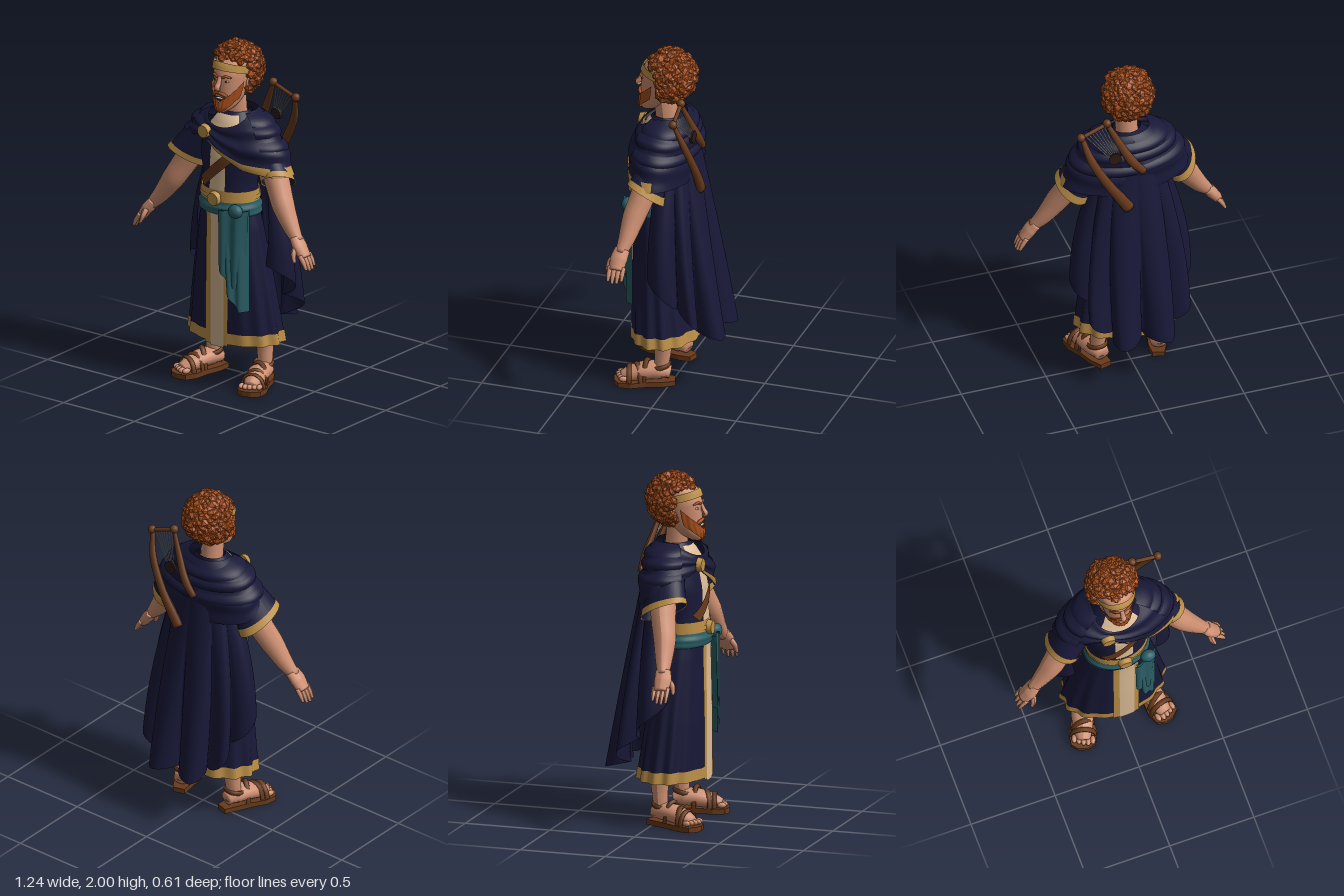
import * as THREE from 'three';
import { mergeGeometries } from 'three/addons/utils/BufferGeometryUtils.js';

const mat = (name, color, side = THREE.FrontSide) => new THREE.MeshStandardMaterial({ name, color, side });
const { sin, cos, asin, abs, max, min, PI } = Math;
const lerp = THREE.MathUtils.lerp, clamp = THREE.MathUtils.clamp;

// interpolate rows of [key, value, value...] at t
function key(rows, t) {
  let i = 0;
  while (i < rows.length - 2 && t > rows[i + 1][0]) i++;
  const a = rows[i], b = rows[i + 1];
  const k = clamp((t - a[0]) / (b[0] - a[0]), 0, 1);
  return a.slice(1).map((p, n) => lerp(p, b[n + 1], k));
}

// cross-sections: [y, half width, half depth, centre z]; angle 0 = front, + towards +x
const BODY = [[0.25, 0.3, 0.195, 0.065], [0.6, 0.255, 0.17, 0.09], [0.95, 0.2, 0.14, 0.115], [1.06, 0.17, 0.135, 0.125],
  [1.2, 0.165, 0.13, 0.122], [1.35, 0.19, 0.13, 0.115], [1.48, 0.18, 0.12, 0.1], [1.56, 0.11, 0.095, 0.085], [1.6, 0.08, 0.07, 0.075]];
const HEAD = [[1.61, 0.015, 0.025, 0.19], [1.625, 0.038, 0.045, 0.18], [1.65, 0.06, 0.075, 0.155], [1.7, 0.08, 0.1, 0.125], [1.76, 0.092, 0.115, 0.11],
  [1.83, 0.1, 0.125, 0.1], [1.9, 0.1, 0.12, 0.08], [1.97, 0.04, 0.05, 0.06]];
const MANTLE = [[1.25, 0.4, 0.185, 0.075], [1.4, 0.335, 0.18, 0.08], [1.53, 0.25, 0.155, 0.075], [1.58, 0.18, 0.125, 0.065], [1.62, 0.105, 0.088, 0.06]];
// lower edge of the mantle by angle in degrees
const EDGE = [[-180, 1.25], [-120, 1.3], [-90, 1.38], [-60, 1.42], [-30, 1.45], [-17, 1.46], [9, 1.37], [28, 1.31], [60, 1.28], [90, 1.28], [130, 1.27], [180, 1.25]];
// lower edge of the cape from the middle to the side
const CAPE_EDGE = [[0, 0.33], [0.17, 0.3], [0.33, 0.34], [0.5, 0.43], [0.67, 0.5], [0.83, 0.62], [1, 0.72]];

function ring(rows, a, y, off = 0, k = 1) {
  const [rx, rz, cz] = key(rows, y);
  return [sin(a) * (rx * k + off), y, cz + cos(a) * (rz * k + off)];
}
// robe surface with pleats that deepen to the hem
function body(a, y, off = 0) {
  const s = clamp((1.1 - y) / 0.8, 0, 1);
  return ring(BODY, a, y, off, 1 + 0.035 * s * (1 - max(0, cos(a)) ** 4) * sin(14 * a));
}
const bodyX = (x, y, off) => body(asin(clamp(x / key(BODY, y)[0], -1, 1)), y, off);
const edge = a => key(EDGE, a * 180 / PI)[0];
function mantle(a, v, off = 0) {
  const top = 1.61 - 0.08 * max(0, cos(a)) ** 3, y = lerp(edge(a), top, v);
  return ring(MANTLE, a, y, off + 0.009 * (1 + sin(v * 15 + a * 1.5)) * sin(PI * v));
}

export function createModel() {
  const g = new THREE.Group();
  g.name = 'robedMusician';
  const D = THREE.DoubleSide;
  const navy = mat('navyCloth', 0x181838, D), gold = mat('goldTrim', 0xbd9048, D), cream = mat('creamLinen', 0xdcbc98, D),
    teal = mat('tealSash', 0x2a5e66, D), skin = mat('skin', 0xcf9072), hair = mat('redHair', 0xaa501c, D),
    brown = mat('brownLeather', 0x683a1c, D), dark = mat('darkDetail', 0x2a1a16), pale = mat('paleString', 0xd6d4ce);

  const add = (name, geo, m, parent = g) => {
    const mesh = new THREE.Mesh(geo, m);
    mesh.name = name;
    parent.add(mesh);
    return mesh;
  };
  // grid surface from f(u, v)
  const surf = (name, m, nu, nv, f, parent) => {
    const pos = [], idx = [];
    for (let j = 0; j <= nv; j++) for (let i = 0; i <= nu; i++) pos.push(...f(i / nu, j / nv));
    for (let j = 0; j < nv; j++) for (let i = 0; i < nu; i++) {
      const a = j * (nu + 1) + i, d = a + nu + 1;
      idx.push(a, a + 1, d, a + 1, d + 1, d);
    }
    const geo = new THREE.BufferGeometry();
    geo.setAttribute('position', new THREE.Float32BufferAttribute(pos, 3));
    geo.setIndex(idx);
    geo.computeVertexNormals();
    return add(name, geo, m, parent);
  };
  // closed limb through [x, y, z, radius] points
  const limb = (name, m, pts, squash = 1, parent = g, ref = [0, 0, 1], sides = 12) => {
    const c = new THREE.CatmullRomCurve3(pts.map(p => new THREE.Vector3(...p)));
    const radii = pts.map((p, i) => [i / (pts.length - 1), p[3]]), n = pts.length * 4;
    return surf(name, m, sides, n + 2, (u, v) => {
      const t = clamp((v * (n + 2) - 1) / n, 0, 1), r = v === 0 || v === 1 ? 0 : key(radii, t)[0];
      const d = c.getTangent(t), e1 = d.clone().cross(new THREE.Vector3(...ref)).normalize(), e2 = d.clone().cross(e1);
      return c.getPoint(t).addScaledVector(e1, r * cos(u * 2 * PI)).addScaledVector(e2, squash * r * sin(u * 2 * PI)).toArray();
    }, parent);
  };
  const ball = (name, m, p, s, parent = g) => {
    const b = add(name, new THREE.SphereGeometry(1, 14, 10), m, parent);
    b.position.set(...p);
    b.scale.set(...s);
    return b;
  };
  const disc = (name, m, p, r, h) => {
    const d = add(name, new THREE.CylinderGeometry(r * 0.85, r, h, 20).rotateX(PI / 2), m);
    d.position.set(...p);
    return d;
  };
  const full = u => (u * 2 - 1) * PI;
  const band = (name, m, y0, y1, off) => surf(name, m, 144, 3, (u, v) => body(full(u), lerp(y0, y1, v), off));
  const panel = (name, m, y0, y1, x0, x1, off) => surf(name, m, 6, 30, (u, v) => bodyX(lerp(x0, x1, u), lerp(y0, y1, v), off));

  // robe, front panels, trims and belt
  surf('robe', navy, 144, 44, (u, v) => body(full(u), lerp(0.26, 1.6, v)));
  band('hemTrim', gold, 0.26, 0.325, 0.005);
  panel('skirtLinen', cream, 0.24, 1.05, -0.03, 0.057, 0.009);
  panel('skirtTrimRight', gold, 0.25, 1.05, -0.065, -0.03, 0.009);
  panel('skirtTrimLeft', gold, 0.25, 1.05, 0.057, 0.083, 0.009);
  panel('chestLinen', cream, 1.16, 1.52, -0.05, 0.055, 0.005);
  surf('collar', cream, 32, 6, (u, v) => body(lerp(-0.8, 0.8, u), lerp(1.5, 1.585, v), 0.007));
  band('belt', gold, 1.085, 1.165, 0.009);
  band('beltRidge', gold, 1.11, 1.135, 0.014);
  disc('buckle', gold, [0, 1.115, 0.277], 0.043, 0.03);
  surf('sashWrap', teal, 80, 8, (u, v) => body(full(u), lerp(1.02, 1.1, v), 0.008 + 0.012 * sin(v * PI) + 0.003 * sin(v * 14)));
  ball('sashKnot', teal, [0.14, 1.065, 0.26], [0.045, 0.04, 0.035]);
  const tail = (name, x0, x1, x2, x3, low, z) => surf(name, teal, 24, 16, (u, v) => {
    const y = lerp(low + 0.1 * (1 - min(1, u * 1.6)) ** 0.8, 1.07, v);
    return [lerp(lerp(x0, x1, u), lerp(x2, x3, u), v), y, z - 0.07 * u * u + 0.007 * sin(u * 11)];
  });
  tail('sashTailLong', 0.1, 0.2, 0.06, 0.2, 0.47, 0.288);
  tail('sashTailShort', 0.055, 0.18, 0.05, 0.205, 0.61, 0.302);
  // shoulder strap across the chest
  surf('baldric', brown, 4, 16, (u, v) => bodyX(lerp(-0.105, 0.11, v) + (u - 0.5) * 0.04, lerp(1.185, 1.4, v) - (u - 0.5) * 0.04, 0.013));

  // shoulder mantle, its trim and brooch
  surf('mantle', navy, 128, 24, (u, v) => mantle(full(u), v));
  surf('mantleTrim', gold, 64, 3, (u, v) => mantle(lerp(-0.3, 1.75, u), v * 0.16, 0.007));
  disc('brooch', gold, [-0.09, 1.49, 0.25], 0.042, 0.03);
  // rolled cowl folds round the neck, hanging lower at the back
  for (const y of [1.575, 1.52, 1.44]) {
    surf('cowlFold', navy, 48, 6, (u, v) => {
      const a = lerp(0.9, 2 * PI - 0.9, u);
      return ring(MANTLE, a, y - 0.03 * max(0, -cos(a)) + (v - 0.5) * 0.06, 0.006 + 0.016 * sin(v * PI));
    });
  }
  // cape with six hanging folds
  surf('cape', navy, 144, 26, (u, v) => {
    const w = u * 2 - 1, d = 1 - v, a = w * 1.93 + 0.09 * sin(2 * PI * w), lobe = abs(sin(3 * PI * w)) ** 0.7;
    const k = 1 - 0.42 * (1 - 0.3 * abs(w)) * d * (1 - lobe);
    return [sin(a) * (0.17 + 0.185 * sin(d * PI / 2)) * k, lerp(1.45, key(CAPE_EDGE, abs(w))[0], d), 0.02 - cos(a) * (0.12 + 0.225 * d) * k];
  });

  for (const s of [1, -1]) {
    const side = s > 0 ? 'left' : 'right', P = a => a.map(([x, ...r]) => [s * x, ...r]);
    // wide sleeve with gold cuff; the left one tucks under the mantle
    const tuck = s > 0 ? 0.03 : 0;
    const sleeve = (a, v, off) => {
      const p = (lerp(0.08, 0.1, v) + off) * cos(a), q = sin(a);
      return [s * (lerp(0.19, 0.315, v) + 0.9 * p), lerp(1.47, 1.262, v) - tuck + 0.42 * p + 0.055 * v * q, lerp(0.085, 0.11, v) - tuck / 2 + (lerp(0.1, 0.128, v) - tuck + off) * q];
    };
    surf(side + 'Sleeve', navy, 32, 8, (u, v) => sleeve(u * 2 * PI, v, 0));
    surf(side + 'Cuff', gold, 32, 2, (u, v) => sleeve(u * 2 * PI, lerp(0.84, 1.01, v), 0.005));
    // arm and hand
    limb(side + 'Arm', skin, P([[0.22, 1.42, 0.09, 0.065], [0.31, 1.25, 0.105, 0.073], [0.385, 1.12, 0.14, 0.066], [0.46, 1.01, 0.16, 0.048], [0.515, 0.945, 0.175, 0.033]]));
    limb(side + 'Palm', skin, P([[0.5, 0.965, 0.17, 0.03], [0.535, 0.92, 0.18, 0.034], [0.575, 0.865, 0.182, 0.028]]), 1.5);
    for (let i = 0; i < 4; i++) {
      const z = 0.142 + i * 0.026, l = [0.82, 0.97, 1, 0.9][i];
      limb(side + 'Finger', skin, P([[0.565, 0.885, z, 0.014], [0.565 + 0.03 * l, 0.885 - 0.045 * l, z, 0.013], [0.565 + 0.05 * l, 0.885 - 0.085 * l, z, 0.008]]), 1, g, [0, 0, 1], 8);
    }
    limb(side + 'Thumb', skin, P([[0.525, 0.935, 0.2, 0.018], [0.53, 0.89, 0.235, 0.016], [0.545, 0.845, 0.245, 0.009]]), 1, g, [1, 0, 0], 8);

    // leg
    limb(side + 'Leg', skin, P([[0.165, 0.55, 0.07, 0.075], [0.17, 0.32, 0.04, 0.062], [0.178, 0.2, 0.04, 0.048], [0.183, 0.12, 0.045, 0.042], [0.185, 0.06, 0.04, 0.045]]));
    // sandalled foot, turned outwards
    const foot = new THREE.Group();
    foot.name = side + 'Foot';
    foot.position.set(s * 0.205, 0, 0.135);
    foot.rotation.y = s * 0.3;
    g.add(foot);
    const sole = new THREE.Shape([[-0.035, -0.17], [0.035, -0.17], [0.056, -0.1], [0.062, 0], [0.08, 0.08], [0.068, 0.15], [0.02, 0.175], [-0.03, 0.175], [-0.07, 0.15], [-0.08, 0.08], [-0.06, 0]].map(p => new THREE.Vector2(p[0], -p[1])));
    add('sole', new THREE.ExtrudeGeometry(sole, { depth: 0.03, bevelEnabled: false }).rotateX(-PI / 2), brown, foot);
    limb('footBody', skin, [[0, 0.07, -0.14, 0.035], [0, 0.085, -0.08, 0.052], [0, 0.08, 0, 0.052], [0, 0.06, 0.08, 0.045], [0, 0.045, 0.13, 0.03]], 1.2, foot, [1, 0, 0]);
    for (let i = 0; i < 5; i++) ball('toe', skin, [s * (i - 2) * 0.026, 0.047, 0.142 - abs(i - 1.3) * 0.008], [0.015, 0.016, 0.026], foot);
    // straps
    for (const [z, rx, ry, tilt] of [[0.09, 0.068, 0.077, 0], [0.045, 0.064, 0.09, 0.3], [-0.01, 0.059, 0.115, -0.3]]) {
      const strap = add('strap', new THREE.TorusGeometry(1, 0.11, 6, 16, PI), brown, foot);
      strap.position.set(0, 0.03, z);
      strap.rotation.y = tilt;
      strap.scale.set(rx, ry, 0.14);
    }
    const ankle = add('ankleStrap', new THREE.TorusGeometry(0.052, 0.009, 6, 20).rotateX(PI / 2 + 0.15), brown, foot);
    ankle.position.set(0, 0.115, -0.085);
    ankle.scale.y = 1.6;

    // eye, brow, moustache
    ball(side + 'Eye', cream, [s * 0.036, 1.8, 0.207], [0.017, 0.008, 0.009]);
    ball(side + 'Pupil', dark, [s * 0.036, 1.8, 0.213], [0.008, 0.008, 0.005]);
    limb(side + 'Brow', hair, P([[0.015, 1.822, 0.226, 0.006], [0.04, 1.832, 0.218, 0.008], [0.066, 1.823, 0.198, 0.004]]), 1, g, [0, 0, 1], 8);
    limb(side + 'Moustache', hair, P([[0.0, 1.733, 0.234, 0.009], [0.03, 1.725, 0.226, 0.01], [0.058, 1.698, 0.198, 0.006]]), 1, g, [0, 0, 1], 8);
    ball(side + 'Ear', skin, [s * 0.1, 1.77, 0.085], [0.014, 0.032, 0.022]);
  }

  // neck, face and nose
  limb('neck', skin, [[0, 1.48, 0.07, 0.08], [0, 1.58, 0.075, 0.065], [0, 1.72, 0.09, 0.065]]);
  surf('head', skin, 32, 24, (u, v) => ring(HEAD, full(u), lerp(1.61, 1.97, v)));
  limb('nose', skin, [[0, 1.825, 0.22, 0.011], [0, 1.785, 0.236, 0.015], [0, 1.765, 0.248, 0.017], [0, 1.752, 0.235, 0.012]], 0.9);
  // beard, smile and headband
  surf('beard', hair, 32, 10, (u, v) => {
    const a = lerp(-1.35, 1.35, u), t = abs(a) / 1.35, low = 1.612 + 0.1 * t * t, top = 1.68 + 0.12 * t ** 1.4;
    return ring(HEAD, a, lerp(low, top, v), 0.012 + 0.003 * sin(u * 60));
  });
  ball('mouth', dark, [0, 1.695, 0.217], [0.04, 0.014, 0.014]);
  ball('teeth', pale, [0, 1.699, 0.224], [0.027, 0.006, 0.01]);
  surf('headband', gold, 32, 3, (u, v) => {
    const a = lerp(-1.7, 1.7, u);
    return ring(HEAD, a, 1.832 + 0.033 * cos(a) + v * 0.042, 0.014);
  });
  // curly hair: faceted curls spread over a skull cap
  ball('hairCap', hair, [0, 1.835, 0.045], [0.115, 0.125, 0.118]);
  let seed = 7;
  const rnd = () => (seed = (seed * 16807) % 2147483647) / 2147483647;
  const curls = [];
  for (let i = 0; i < 300; i++) {
    const h = 1 - 2 * (i + 0.5) / 300, r = Math.sqrt(1 - h * h), a = i * 2.39996;
    const k = 0.95 + rnd() * 0.1, x = sin(a) * r * 0.131 * k, y = 1.835 + h * 0.137 * k, z = 0.055 + cos(a) * r * 0.131 * k;
    const size = 0.024 + rnd() * 0.011, ry = rnd() * 6, rx = rnd() * 6;
    if ((z > 0.1 && y < 1.908) || y < 1.705) continue;
    curls.push(new THREE.IcosahedronGeometry(size, 0).scale(1, 0.75, 1).rotateX(rx).rotateY(ry).translate(x, y, z));
  }
  add('curls', mergeGeometries(curls), hair);

  // lyre slung on the back
  limb('lyreOuterArm', brown, [[0.31, 1.69, -0.065, 0.013], [0.27, 1.55, -0.11, 0.024], [0.18, 1.38, -0.14, 0.027], [0.11, 1.27, -0.145, 0.032], [0.06, 1.19, -0.145, 0.034]], 0.75);
  limb('lyreInnerArm', brown, [[0.16, 1.745, -0.06, 0.013], [0.1, 1.62, -0.09, 0.022], [0.03, 1.49, -0.12, 0.028], [-0.035, 1.41, -0.125, 0.022]], 0.75);
  limb('lyreCrossbar', brown, [[0.15, 1.75, -0.06, 0.012], [0.32, 1.685, -0.065, 0.012]], 1, g, [0, 0, 1], 8);
  for (const p of [[0.16, 1.75, -0.06], [0.315, 1.69, -0.065]]) ball('lyreKnob', brown, p, [0.025, 0.025, 0.025]);
  disc('lyreBridge', dark, [0.135, 1.54, -0.12], 0.038, 0.02);
  for (let i = 0; i < 7; i++) {
    const k = (i + 1) / 8;
    limb('lyreString', pale, [[lerp(0.16, 0.31, k), lerp(1.745, 1.69, k), -0.063, 0.0028], [lerp(0.105, 0.165, k), 1.54, -0.122, 0.0028]], 1, g, [0, 0, 1], 4);
  }
  return g;
}
